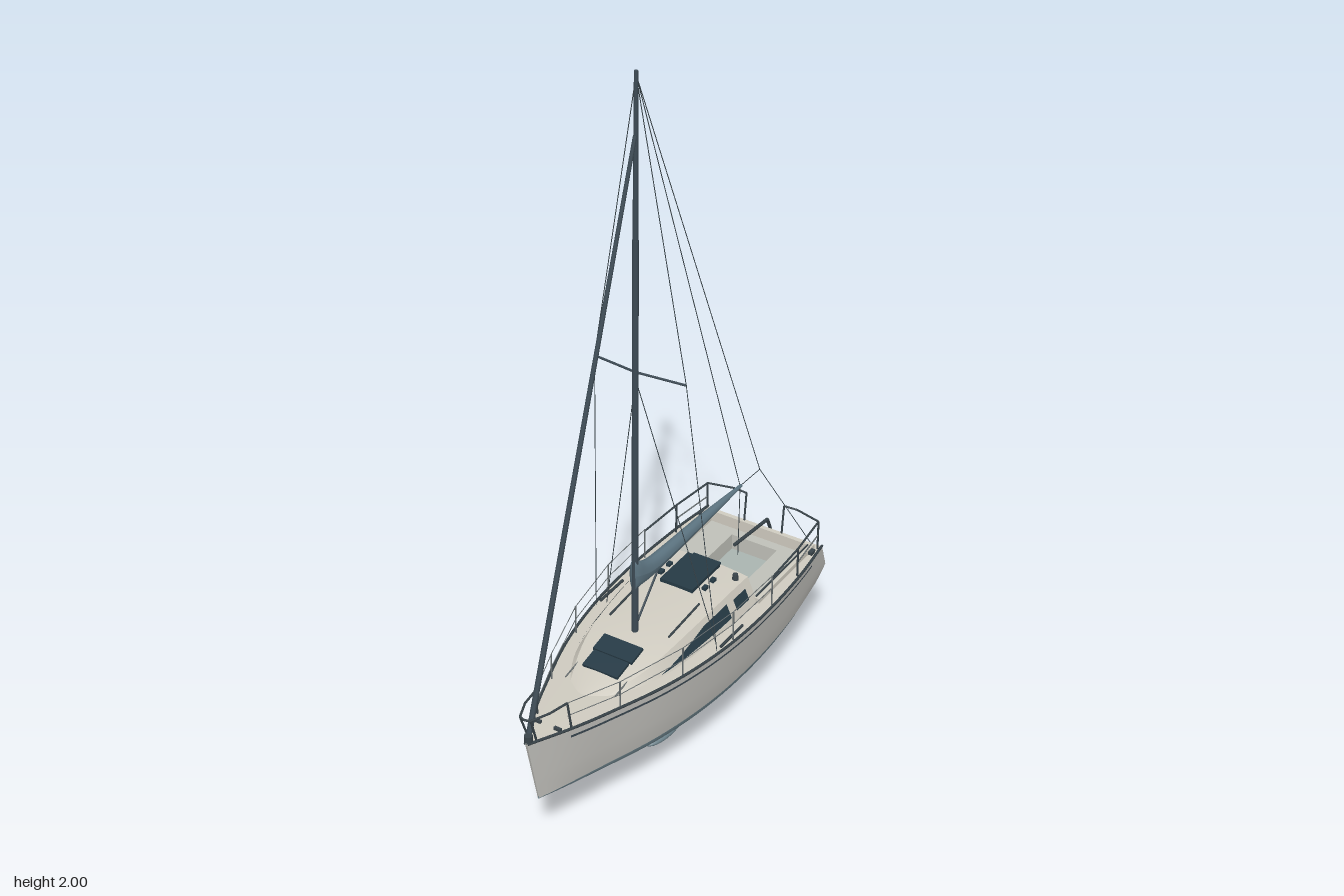
import * as THREE from 'three';

const C = { hull: 0xc4c3be, deck: 0xcfcbc0, seat: 0xbfc0b8, sole: 0xa9b4b0, bottom: 0x6c828b, fin: 0x8198a2, cover: 0x5d7582,
  glass: 0x263a45, dark: 0x39444a, spar: 0x3c4a54, metal: 0x6a7173 };

// Smooth interpolation through [z, value] pairs listed from bow to stern
function curve(t) {
  const slope = i => {
    const a = t[Math.max(i - 1, 0)], b = t[Math.min(i + 1, t.length - 1)];
    return (b[1] - a[1]) / (b[0] - a[0]);
  };
  return z => {
    let i = 0;
    while (i < t.length - 2 && z < t[i + 1][0]) i++;
    const h = t[i + 1][0] - t[i][0], u = Math.min(1, Math.max(0, (z - t[i][0]) / h)), u2 = u * u, u3 = u2 * u;
    return (2 * u3 - 3 * u2 + 1) * t[i][1] + (u3 - 2 * u2 + u) * h * slope(i)
      + (3 * u2 - 2 * u3) * t[i + 1][1] + (u3 - u2) * h * slope(i + 1);
  };
}
const BOW = 0.612, STERN = -0.545;
const beam = curve([[BOW, 0.003], [0.5, 0.055], [0.4, 0.094], [0.2, 0.16], [0, 0.197], [-0.2, 0.208], [-0.4, 0.2], [STERN, 0.183]]);
const sheer = curve([[BOW, 0.4], [0.3, 0.385], [0, 0.375], [-0.3, 0.37], [STERN, 0.37]]);
const water = curve([[BOW, 0.002], [0.4, 0.062], [0.2, 0.125], [0, 0.163], [-0.2, 0.175], [-0.4, 0.168], [STERN, 0.15]]);
const chine = curve([[BOW, 0.2], [0, 0.195], [-0.4, 0.198], [STERN, 0.212]]);
const keelLine = curve([[BOW, 0.197], [0.4, 0.165], [0.2, 0.141], [0, 0.127], [-0.2, 0.128], [-0.4, 0.152], [STERN, 0.2]]);
const cabinBase = curve([[0.37, 0.055], [0.2, 0.128], [0, 0.155], [-0.23, 0.163]]);
const cabinTop = curve([[0.37, 0.39], [0.25, 0.415], [0.1, 0.438], [-0.1, 0.45], [-0.23, 0.45]]);

const lerp = THREE.MathUtils.lerp;
const stations = (a, b, n) => Array.from({ length: n + 1 }, (_, i) => lerp(a, b, i / n));
// Raked stem and stepped transom: moves a point along z by its height v on the topsides
function rake(z, v) {
  const f = Math.max(0, (z - 0.3) / (BOW - 0.3)), a = Math.max(0, (-0.4 - z) / 0.145);
  const back = v < 0.37 ? lerp(0.03, 0.058, v / 0.37) : lerp(0.058, 0, (v - 0.37) / 0.63);
  return z - f * f * 0.043 * (1 - v) - a * back;
}
const topside = (z, v, s = 1) => [s * lerp(water(z), beam(z), Math.pow(v, 0.8)), lerp(chine(z), sheer(z), v), rake(z, v)];
const under = (z, a, s = 1) => [s * water(z) * Math.sin(a), lerp(keelLine(z), chine(z), 1 - Math.cos(a)), rake(z, 0)];
// Point on the cabin side, f = 0 at the deck and 1 at the roof edge
const cabinSide = (z, f, s, out = 0) => [s * (cabinBase(z) * (1 - 0.2 * f) + out), lerp(sheer(z) - 0.004, cabinTop(z) - 0.008, f) + out * 0.3, z];

export function createModel() {
  const root = new THREE.Group();
  root.name = 'sailingYacht';
  const mats = {};
  const mat = c => mats[c] ??= new THREE.MeshStandardMaterial({ color: c, side: THREE.DoubleSide });
  function add(name, geo, color, x = 0, y = 0, z = 0) {
    const m = new THREE.Mesh(geo, mat(color));
    m.name = name;
    m.position.set(x, y, z);
    root.add(m);
    return m;
  }
  const box = (name, w, h, d, color, x, y, z) => add(name, new THREE.BoxGeometry(w, h, d), color, x, y, z);
  // Skin over rows of equally many points
  function loft(name, rows, color) {
    const n = rows[0].length, idx = [];
    for (let i = 0; i < rows.length - 1; i++) for (let j = 0; j < n - 1; j++) {
      const a = i * n + j, b = a + n;
      idx.push(a, b, a + 1, b, b + 1, a + 1);
    }
    const g = new THREE.BufferGeometry();
    g.setAttribute('position', new THREE.Float32BufferAttribute(rows.flat(2), 3));
    g.setIndex(idx);
    g.computeVertexNormals();
    return add(name, g, color);
  }
  // Straight round bars joining the points
  function rods(name, pts, r, color, r2 = r, sides = 6) {
    for (let i = 0; i < pts.length - 1; i++) {
      const a = new THREE.Vector3(...pts[i]), d = new THREE.Vector3(...pts[i + 1]).sub(a);
      const m = add(name, new THREE.CylinderGeometry(r2, r, d.length(), sides), color);
      m.position.copy(a).addScaledVector(d, 0.5);
      m.quaternion.setFromUnitVectors(new THREE.Vector3(0, 1, 0), d.normalize());
    }
  }
  const tube = (name, pts, r, color) => add(name, new THREE.TubeGeometry(
    new THREE.CatmullRomCurve3(pts.map(p => new THREE.Vector3(...p))), pts.length * 3, r, 5), color);
  // Upright blade from a [z, y] outline
  function blade(name, pts, t, color) {
    const g = new THREE.ExtrudeGeometry(new THREE.Shape(pts.map(p => new THREE.Vector2(...p))),
      { depth: t * 0.3, bevelThickness: t * 0.35, bevelSize: 0.008, bevelOffset: -0.008, bevelSegments: 2 });
    add(name, g.translate(0, 0, -t * 0.15).rotateY(-Math.PI / 2), color);
  }

  // Hull
  const zs = stations(BOW, STERN, 40), vs = [0, 0.185, 0.37, 0.58, 0.8, 1], angles = stations(0, Math.PI / 2, 8);
  for (const s of [-1, 1]) loft('topsides', zs.map(z => vs.map(v => topside(z, v, s))), C.hull);
  loft('underbody', zs.map(z => stations(-Math.PI / 2, Math.PI / 2, 16).map(a => under(z, a))), C.bottom);
  loft('transom', vs.map(v => [-1, 1].map(s => topside(STERN, v, s))), C.hull);
  loft('transomBottom', angles.map(a => [-1, 1].map(s => under(STERN, a, s))), C.bottom);
  for (const s of [-1, 1]) {
    tube('toeRail', zs.map(z => [s * beam(z), sheer(z) + 0.003, z]), 0.004, C.dark);
    loft('hullStripe', stations(0.5, -0.47, 24).map(z => [0.86, 0.9].map(v => {
      const p = topside(z, v, s);
      return [p[0] + s * 0.0015, p[1], p[2]];
    })), C.spar);
    box('sternStep', 0.11, 0.012, 0.03, C.seat, s * 0.1, 0.272, -0.592);
  }

  // Deck with an opening for the cockpit
  const rim = [...zs.map(z => [beam(z), z]), ...zs.slice().reverse().map(z => [-beam(z), z])];
  const deckShape = new THREE.Shape(rim.map(p => new THREE.Vector2(...p)));
  deckShape.holes.push(new THREE.Path([[-0.16, -0.22], [0.16, -0.22], [0.16, -0.52], [-0.16, -0.52]].map(p => new THREE.Vector2(...p))));
  const deck = new THREE.ShapeGeometry(deckShape).rotateX(Math.PI / 2), dp = deck.attributes.position;
  for (let i = 0; i < dp.count; i++) dp.setY(i, sheer(dp.getZ(i)));
  deck.computeVertexNormals();
  add('deck', deck, C.deck);

  // Cockpit
  box('cockpitFloor', 0.15, 0.01, 0.29, C.sole, 0, 0.295, -0.375);
  box('sternBench', 0.32, 0.055, 0.03, C.seat, 0, 0.32, -0.505);
  box('cockpitBackWall', 0.34, 0.09, 0.008, C.deck, 0, 0.336, -0.522);
  for (const s of [-1, 1]) {
    box('cockpitSeat', 0.09, 0.055, 0.3, C.seat, s * 0.117, 0.32, -0.37);
    box('coaming', 0.014, 0.095, 0.3, C.deck, s * 0.163, 0.338, -0.375);
    box('coamingTrim', 0.004, 0.004, 0.28, C.dark, s * 0.157, 0.387, -0.37);
  }

  // Cabin
  const cz = stations(0.37, -0.23, 24);
  const roofRow = z => stations(-1, 1, 8).map(u => [u * cabinBase(z) * 0.8, cabinTop(z) - 0.008 * u * u, z]);
  loft('cabinRoof', cz.map(roofRow), C.deck);
  loft('cabinFront', [roofRow(0.37), roofRow(0.37).map(p => [p[0] * 1.25, 0.383, 0.375])], C.deck);
  loft('cabinBulkhead', [roofRow(-0.23), roofRow(-0.23).map(p => [p[0] * 1.25, 0.29, -0.23])], C.deck);
  for (const s of [-1, 1]) {
    loft('cabinSide', cz.map(z => [0, 0.5, 1].map(f => cabinSide(z, f, s))), C.deck);
    loft('longWindow', stations(0.19, -0.11, 14).map((z, i) => [0.28, lerp(0.3, 0.8, Math.min(1, i / 9))].map(f => cabinSide(z, f, s, 0.003))), C.glass);
    loft('smallWindow', stations(-0.14, -0.2, 2).map(z => [0.35, 0.75].map(f => cabinSide(z, f, s, 0.003))), C.glass);
    rods('grabRail', [[s * 0.09, 0.449, -0.05], [s * 0.09, 0.437, 0.1]], 0.003, C.dark);
    rods('foredeckTrack', [[s * 0.075, 0.404, 0.26], [s * 0.075, 0.392, 0.33]], 0.002, C.metal);
    rods('genoaTrack', [[s * 0.187, 0.38, -0.11], [s * 0.187, 0.381, 0]], 0.004, C.dark);
    add('winch', new THREE.CylinderGeometry(0.007, 0.009, 0.018, 12), C.dark, s * 0.11, 0.452, -0.2);
    for (const z of [-0.155, -0.115]) box('ropeClutch', 0.012, 0.01, 0.016, C.glass, s * 0.068, 0.452, z);
    box('bowCleat', 0.02, 0.008, 0.008, C.dark, s * 0.03, 0.4, 0.52);
    box('sternCleat', 0.012, 0.01, 0.02, C.dark, s * 0.175, 0.376, -0.5);
  }
  box('slidingHatch', 0.1, 0.014, 0.14, C.glass, 0, 0.452, -0.15);
  box('companionwayDoor', 0.085, 0.13, 0.008, C.glass, 0, 0.385, -0.234);
  for (const [z, y] of [[0.2, 0.427], [0.258, 0.415]])
    box('foreHatch', z < 0.23 ? 0.118 : 0.106, 0.008, 0.056, C.glass, 0, y, z).rotation.x = 0.2;

  // Mast, boom cover and furled headsail
  rods('mast', [[0, 0.43, 0.12], [0, 1.57, 0.107]], 0.009, C.spar, 0.008, 12);
  rods('mastTop', [[0, 1.57, 0.107], [0, 2, 0.1]], 0.007, C.spar, 0.005, 12);
  const coverTop = curve([[0.125, 0.662], [0.08, 0.632], [0.02, 0.617], [-0.2, 0.605], [-0.41, 0.588]]);
  const coverWide = curve([[0.125, 0.012], [0.05, 0.019], [-0.2, 0.014], [-0.41, 0.005]]);
  const coverRow = (z, k = 1) => stations(0, Math.PI * 2, 14).map(a => {
    const low = lerp(0.58, 0.565, (z + 0.41) / 0.535), mid = (low + coverTop(z)) / 2;
    return [k * coverWide(z) * Math.cos(a), mid + k * (coverTop(z) - mid) * Math.sin(a), z];
  });
  loft('sailCover', [coverRow(0.125, 0), ...stations(0.125, -0.41, 22).map(z => coverRow(z)), coverRow(-0.41, 0)], C.cover);
  rods('boomVang', [[0, 0.45, 0.115], [0, 0.57, 0]], 0.003, C.spar);
  rods('furledHeadsail', [[0, 0.43, 0.597], [0, 1.84, 0.106]], 0.008, C.spar, 0.005, 8);
  add('furlerDrum', new THREE.CylinderGeometry(0.011, 0.011, 0.018, 12), C.dark, 0, 0.415, 0.602);

  // Standing rigging
  const head = [0, 1.99, 0.1], wire = 0.0011;
  rods('toppingLift', [head, [0, 0.585, -0.405], [0, 0.36, -0.4]], wire, C.dark);
  rods('backstay', [head, [0, 0.58, -0.51]], wire, C.dark);
  for (const s of [-1, 1]) {
    rods('spreader', [[0, 1.21, 0.11], [s * 0.132, 1.205, 0.09]], 0.003, C.spar);
    rods('shroud', [head, [s * 0.132, 1.205, 0.09], [s * 0.187, 0.38, 0.02]], wire, C.dark);
    rods('lowerShroud', [[0, 1.19, 0.11], [s * 0.17, 0.38, -0.005]], wire, C.dark);
    rods('backstayBridle', [[0, 0.58, -0.51], [s * 0.165, 0.37, -0.53]], wire, C.dark);
  }

  // Guard rails
  const side = (z, y, s) => [s * (beam(z) - 0.008), y, z];
  for (const s of [-1, 1]) {
    const posts = [0.35, 0.15, -0.05, -0.24];
    for (const z of posts) rods('stanchion', [side(z, sheer(z), s), side(z, 0.465, s)], 0.0022, C.metal);
    for (const h of [0, 1]) rods('lifeline', [side(0.5, h ? 0.475 : 0.435, s), ...posts.map(z => side(z, h ? 0.465 : 0.425, s))], wire, C.metal);
    rods('pulpit', [[0, 0.482, 0.617], [s * 0.016, 0.482, 0.612], [s * 0.037, 0.48, 0.56], side(0.5, 0.475, s), side(0.49, 0.39, s)], 0.003, C.dark);
    rods('pulpitLeg', [[s * 0.016, 0.482, 0.612], [s * 0.012, 0.4, 0.585]], 0.003, C.dark);
    const corner = side(-0.53, 0.46, s);
    rods('pushpit', [side(-0.24, 0.46, s), side(-0.39, 0.46, s), corner, [s * 0.1, 0.46, -0.548], [s * 0.06, 0.46, -0.545], [s * 0.06, 0.37, -0.535]], 0.0028, C.dark);
    rods('pushpitMidRail', [side(-0.39, 0.415, s), side(-0.53, 0.415, s)], 0.002, C.metal);
    for (const z of [-0.39, -0.53]) rods('pushpitLeg', [side(z, 0.37, s), side(z, 0.46, s)], 0.0028, C.dark);
  }

  // Keel, rudder and propeller
  blade('keelFin', [[0.13, 0.145], [0.115, 0.105], [0.09, 0.06], [0.06, 0.02], [-0.07, 0.02], [-0.05, 0.06], [-0.04, 0.1], [-0.03, 0.145]], 0.024, C.fin);
  add('keelBulb', new THREE.SphereGeometry(1, 24, 14), C.bottom, 0, 0.016, -0.02).scale.set(0.033, 0.016, 0.09);
  blade('rudder', [[-0.585, 0.27], [-0.615, 0.27], [-0.617, 0.2], [-0.622, 0.065], [-0.612, 0.058], [-0.578, 0.062], [-0.57, 0.09], [-0.56, 0.21]], 0.016, C.fin);
  box('rudderBracket', 0.018, 0.04, 0.035, C.dark, 0, 0.27, -0.592);
  rods('tiller', [[0, 0.28, -0.605], [0, 0.385, -0.56], [0, 0.405, -0.38]], 0.005, C.dark);
  rods('propellerShaft', [[0, 0.145, -0.29], [0, 0.105, -0.39]], 0.003, C.dark);
  add('propellerHub', new THREE.SphereGeometry(0.008, 10, 8), C.dark, 0, 0.104, -0.393);
  for (const s of [-1, 1]) add('propellerBlade', new THREE.SphereGeometry(1, 10, 6), C.dark, s * 0.016, 0.104, -0.393).scale.set(0.014, 0.007, 0.003);
  return root;
}
